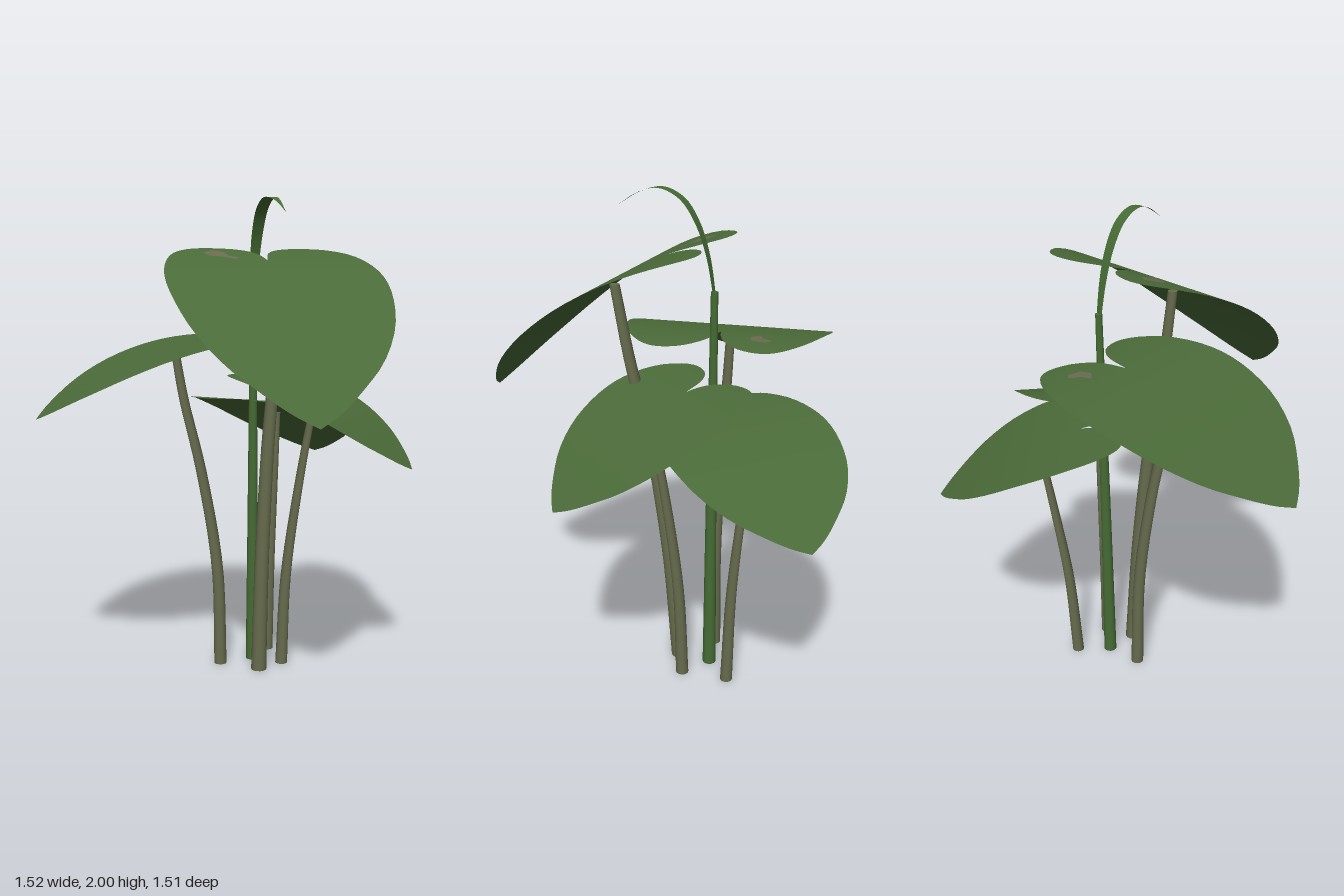
import * as THREE from 'three';

const mat = (name, color, side = THREE.FrontSide) => {
  const m = new THREE.MeshStandardMaterial({ color, side });
  m.name = name;
  return m;
};

// Half of the heart outline, from the notch round one lobe to the tip (z runs to the tip)
const HALF = [[0, -0.2], [0.02, -0.28], [0.06, -0.345], [0.13, -0.395], [0.22, -0.41], [0.3, -0.375],
  [0.38, -0.28], [0.43, -0.15], [0.446, -0.03], [0.43, 0.1], [0.385, 0.23], [0.3, 0.35],
  [0.19, 0.44], [0.09, 0.505], [0, 0.545]];

function heartOutline(width, length) {
  const half = new THREE.SplineCurve(HALF.map(([x, z]) => new THREE.Vector2(x * width, z * length))).getPoints(36);
  const other = half.slice(1, -1).reverse().map((p) => new THREE.Vector2(-p.x, p.y));
  return [...half, ...other];
}

// Upward-facing sheet: concentric loops of an outline, lifted by a height rule
function sheet(outline, centre, rings, height) {
  const pos = [centre.x, height(centre.y), centre.y], index = [];
  const n = outline.length;
  for (let r = 1; r <= rings; r++) {
    for (const p of outline) {
      const q = centre.clone().lerp(p, r / rings);
      pos.push(q.x, height(q.y), q.y);
    }
  }
  for (let i = 0; i < n; i++) {
    const j = (i + 1) % n;
    index.push(0, 1 + j, 1 + i);
    for (let r = 0; r < rings - 1; r++) {
      const a = 1 + r * n + i, b = 1 + r * n + j;
      index.push(a, b, b + n, a, b + n, a + n);
    }
  }
  // Turn the faces over if the outline runs the other way
  if (THREE.ShapeUtils.area(outline) > 0) index.reverse();
  const g = new THREE.BufferGeometry();
  g.setAttribute('position', new THREE.Float32BufferAttribute(pos, 3));
  g.setIndex(index);
  g.computeVertexNormals();
  if (g.attributes.normal.getY(0) < 0) {
    g.setIndex(index.reverse());
    g.computeVertexNormals();
  }
  return g;
}

// Tapered stem: a capped cylinder whose sections follow a curve
function stemGeometry(points, rBase, rTop) {
  const curve = new THREE.CatmullRomCurve3(points.map((p) => new THREE.Vector3(...p)));
  const g = new THREE.CylinderGeometry(rTop, rBase, 1, 14, 18);
  const p = g.attributes.position;
  for (let i = 0; i < p.count; i++) {
    const c = curve.getPoint(p.getY(i) + 0.5);
    p.setXYZ(i, p.getX(i) + c.x, c.y, p.getZ(i) + c.z);
  }
  return g;
}

// Curled young leaf: a ribbon tapering along a curve
function ribbonGeometry(points, width) {
  const curve = new THREE.CatmullRomCurve3(points.map((p) => new THREE.Vector3(...p)));
  const g = new THREE.PlaneGeometry(1, 1, 2, 30);
  const p = g.attributes.position;
  for (let i = 0; i < p.count; i++) {
    const t = p.getY(i) + 0.5, c = curve.getPoint(t);
    const w = width * (0.3 + 0.7 * Math.sin(Math.PI * Math.min(1, t * 0.75 + 0.12))) * Math.min(1, (1 - t) * 3 + 0.05);
    p.setXYZ(i, c.x + p.getX(i) * w, c.y, c.z);
  }
  g.computeVertexNormals();
  return g;
}

// at: where the stem meets the blade; tip: horizontal tip position; slope and bend shape the droop
const LEAVES = [
  { name: 'front', at: [0.187, 1.65, 0.2], tip: [0.2, 0.745], width: 1, slope: 0.606, bend: 0.555,
    stem: [[0.165, 0, -0.05], [0.166, 0.5, -0.005], [0.17, 1, 0.075], [0.175, 1.3, 0.15], [0.18, 1.62, 0.21]], radii: [0.033, 0.02],
    patch: [[-0.07, -0.08], [-0.03, -0.13], [0.02, -0.1], [0.03, -0.04], [0.07, -0.02], [0.05, -0.005], [0, -0.03], [-0.05, -0.04]] },
  { name: 'left', at: [-0.18, 1.4, -0.145], tip: [-0.76, -0.065], width: 0.93, slope: 0.247, bend: 0.42,
    stem: [[0.015, 0, -0.155], [0, 0.44, -0.15], [-0.07, 0.865, -0.145], [-0.145, 1.18, -0.14], [-0.18, 1.38, -0.14]], radii: [0.027, 0.018],
    patch: [[0.04, -0.34], [0.075, -0.36], [0.1, -0.405], [0.125, -0.385], [0.12, -0.33], [0.08, -0.31]] },
  { name: 'back', at: [0.305, 1.105, -0.4], tip: [0.595, -0.725], width: 0.8, slope: 0.357, bend: 0.53,
    stem: [[0.26, 0, -0.3], [0.275, 0.4, -0.32], [0.3, 0.75, -0.36], [0.325, 1.08, -0.405]], radii: [0.025, 0.014] },
  { name: 'right', at: [0.395, 1.2, -0.035], tip: [0.745, 0.205], width: 0.78, slope: 0.444, bend: 0.59,
    stem: [[0.28, 0, -0.11], [0.295, 0.4, -0.1], [0.34, 0.8, -0.07], [0.395, 1.18, -0.03]], radii: [0.026, 0.015] },
];

export function createModel() {
  const model = new THREE.Group();
  model.name = 'pottedLeafPlant';
  const leafGreen = mat('leafGreen', 0x4b6b39, THREE.DoubleSide);
  const shootGreen = mat('shootGreen', 0x456b34, THREE.DoubleSide);
  const stemOlive = mat('stemOlive', 0x666b4d);
  const spotBrown = mat('spotBrown', 0x6a6c50, THREE.DoubleSide);

  const add = (parent, name, geometry, material) => {
    const mesh = new THREE.Mesh(geometry, material);
    mesh.name = name;
    parent.add(mesh);
    return mesh;
  };

  for (const L of LEAVES) {
    add(model, L.name + 'Stem', stemGeometry(L.stem, ...L.radii), stemOlive);

    // Blade, turned so that local z points to the tip
    const blade = new THREE.Group();
    blade.name = L.name + 'Leaf';
    const dx = L.tip[0] - L.at[0], dz = L.tip[1] - L.at[2], reach = Math.hypot(dx, dz);
    const sin = dx / reach, cos = dz / reach;
    blade.position.set(...L.at);
    blade.rotation.y = Math.atan2(dx, dz);
    const droop = (z) => -L.slope * z - L.bend * z * z;
    add(blade, L.name + 'Blade', sheet(heartOutline(L.width, reach / 0.545), new THREE.Vector2(), 12, droop), leafGreen);

    // Faded spot, on both faces of the blade
    if (L.patch) {
      const spot = L.patch.map(([x, z]) => {
        const px = x - L.at[0], pz = z - L.at[2];
        return new THREE.Vector2(px * cos - pz * sin, px * sin + pz * cos);
      });
      const centre = spot.reduce((s, p) => s.add(p), new THREE.Vector2()).divideScalar(spot.length);
      for (const lift of [0.003, -0.003]) {
        add(blade, L.name + 'Spot', sheet(spot, centre, 3, (z) => droop(z) + lift), spotBrown);
      }
    }
    model.add(blade);
  }

  // Young shoot: straight green stalk and its curled tip
  add(model, 'shootStalk', stemGeometry([[0.165, 0, -0.188], [0.165, 0.8, -0.19], [0.165, 1.625, -0.195]], 0.028, 0.014), shootGreen);
  add(model, 'shootCurl', ribbonGeometry([[0.165, 1.61, -0.195], [0.165, 1.75, -0.17], [0.168, 1.87, -0.13],
    [0.174, 1.96, -0.07], [0.185, 1.998, 0.01], [0.2, 1.98, 0.09], [0.213, 1.93, 0.17]], 0.05), shootGreen);

  return model;
}
